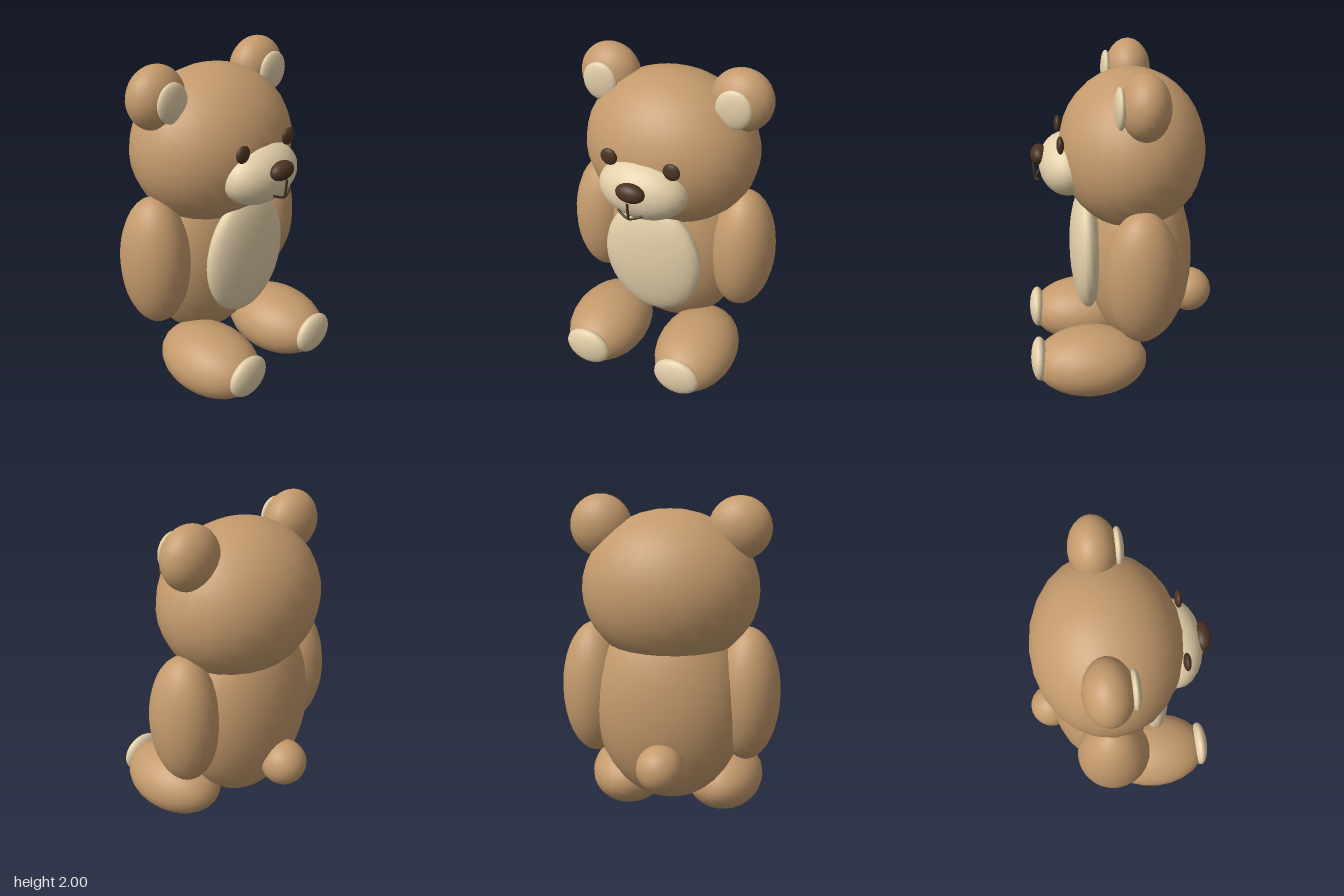
import * as THREE from 'three';

export function createModel() {
  const bear = new THREE.Group();
  bear.name = 'teddyBear';

  const mat = (name, color) => {
    const m = new THREE.MeshStandardMaterial({ color });
    m.name = name;
    return m;
  };
  const fur = mat('brownFur', 0xc49a6c);
  const cream = mat('creamFur', 0xe3cfa9);
  const dark = mat('darkBrown', 0x4a3422);

  // Every soft part is an ellipsoid: centre and radii
  const ball = (name, material, centre, radii) => {
    const g = new THREE.SphereGeometry(1, 24, 18).scale(...radii);
    const mesh = new THREE.Mesh(g, material);
    mesh.name = name;
    mesh.position.set(...centre);
    bear.add(mesh);
    return mesh;
  };

  // Thin stitched line through a few points
  const stitch = (name, points) => {
    const curve = new THREE.CatmullRomCurve3(points.map(p => new THREE.Vector3(...p)));
    const mesh = new THREE.Mesh(new THREE.TubeGeometry(curve, 8, 0.007, 8), dark);
    mesh.name = name;
    bear.add(mesh);
  };

  // Torso, head and tail
  ball('body', fur, [0, 0.77, -0.11], [0.455, 0.59, 0.32]);
  ball('belly', cream, [0, 0.82, 0.21], [0.31, 0.38, 0.1]);
  ball('head', fur, [0, 1.46, -0.065], [0.52, 0.46, 0.425]);
  ball('tail', fur, [0, 0.487, -0.437], [0.138, 0.138, 0.138]);

  // Face
  ball('muzzle', cream, [0, 1.38, 0.31], [0.265, 0.175, 0.165]);
  ball('nose', dark, [0, 1.44, 0.47], [0.085, 0.055, 0.05]);
  stitch('mouthLine', [[0, 1.4, 0.507], [0, 1.345, 0.503], [0, 1.287, 0.495]]);

  // Mirrored parts
  for (const [side, s] of [['left', 1], ['right', -1]]) {
    ball(side + 'Eye', dark, [s * 0.187, 1.555, 0.353], [0.05, 0.05, 0.021]);
    stitch(side + 'Mouth', [[0, 1.287, 0.495], [s * 0.04, 1.3, 0.487], [s * 0.075, 1.315, 0.472]]);
    ball(side + 'Ear', fur, [s * 0.4, 1.82, -0.09], [0.18, 0.18, 0.135]);
    ball(side + 'InnerEar', cream, [s * 0.4, 1.82, 0.043], [0.105, 0.113, 0.032]);
    ball(side + 'Arm', fur, [s * 0.46, 0.845, -0.075], [0.197, 0.405, 0.217]);
    ball(side + 'Leg', fur, [s * 0.305, 0.207, 0.215], [0.247, 0.203, 0.342]);
    ball(side + 'FootPad', cream, [s * 0.302, 0.237, 0.523], [0.145, 0.126, 0.052]);
  }
  return bear;
}
